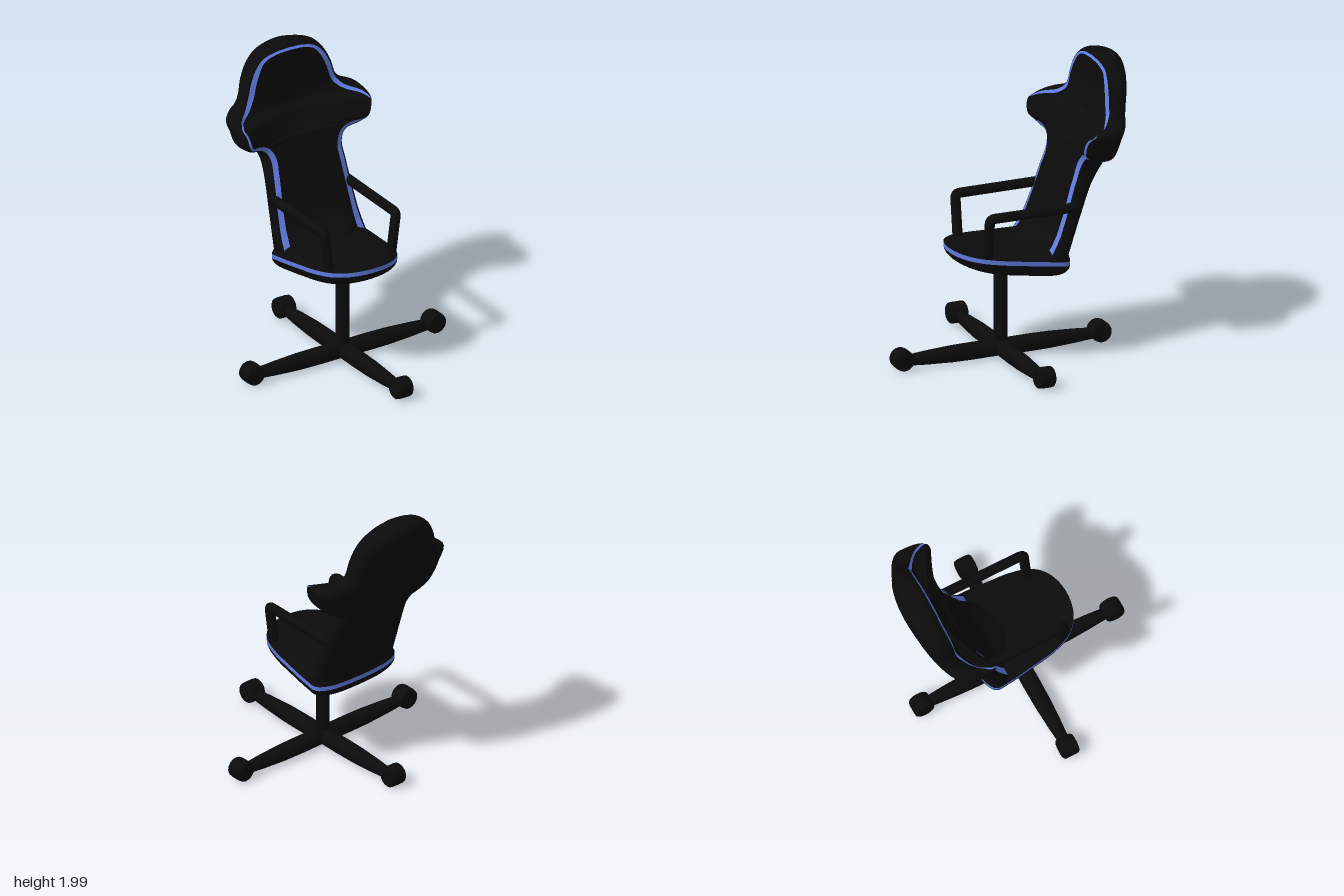
import * as THREE from 'three';
import { mergeVertices } from 'three/addons/utils/BufferGeometryUtils.js';

const black = new THREE.MeshStandardMaterial({ color: 0x0b0b0b, side: THREE.DoubleSide });
const blue = new THREE.MeshStandardMaterial({ color: 0x607ce0, side: THREE.DoubleSide });
const V = (x, y, z) => new THREE.Vector3(x, y, z);
const mix = THREE.MathUtils.lerp;

// Smooth surface through rows of points: columns run rightward seen from outside, rows run upward
function surface(name, rows, material) {
  const n = rows[0].length, index = [];
  for (let i = 0; i < rows.length - 1; i++) {
    for (let j = 0; j < n - 1; j++) {
      const a = i * n + j, d = a + n;
      index.push(a, a + 1, d + 1, a, d + 1, d);
    }
  }
  let geo = new THREE.BufferGeometry().setFromPoints(rows.flat());
  geo.setIndex(index);
  geo = mergeVertices(geo, 1e-4);
  geo.computeVertexNormals();
  return part(name, geo, material);
}

function part(name, geo, material = black) {
  const mesh = new THREE.Mesh(geo, material);
  mesh.name = name;
  return mesh;
}

// Backrest stations: half width, height, edge z, centre front z, centre back z, trim width
const stations = [
  [.342, .70, -.13, .04, -.357, .05],
  [.330, .80, -.20, -.05, -.385, .045],
  [.322, .88, -.245, -.215, -.41, .04],
  [.312, 1.0, -.29, -.285, -.455, .036],
  [.297, 1.2, -.355, -.355, -.54, .036],
  [.295, 1.31, -.395, -.405, -.62, .036],
  [.328, 1.365, -.41, -.43, -.655, .032],
  [.42, 1.395, -.395, -.45, -.68, .022],
  [.475, 1.45, -.355, -.48, -.70, .014],
  [.50, 1.53, -.355, -.52, -.725, .010],
  [.512, 1.585, -.39, -.55, -.735, .010],
  [.48, 1.625, -.44, -.56, -.742, .016],
  [.40, 1.655, -.53, -.575, -.75, .024],
  [.36, 1.70, -.57, -.585, -.76, .034],
  [.33, 1.80, -.58, -.60, -.78, .036],
  [.285, 1.89, -.59, -.60, -.79, .032],
  [.22, 1.955, -.60, -.60, -.785, .020],
  [.12, 1.99, -.60, -.60, -.755, .014],
  [0, 2.0, -.60, -.60, -.69, .014],
];

function backrest() {
  const group = new THREE.Group();
  group.name = 'backrest';
  const outline = new THREE.CatmullRomCurve3(stations.map(s => V(s[0], s[1], s[5])));
  const depth = new THREE.CatmullRomCurve3(stations.map(s => V(s[2], s[3], s[4])));
  const shell = [], panel = [], trimLeft = [], trimRight = [];
  const flip = p => V(-p.x, p.y, p.z);
  const N = 108, rim = 0.026;
  for (let i = 0; i <= N; i++) {
    const t = i / N, o = outline.getPoint(t), d = depth.getPoint(t);
    const tan = outline.getPoint(Math.min(1, t + .004)).sub(outline.getPoint(Math.max(0, t - .004)));
    const len = Math.hypot(tan.x, tan.y);
    // Point moved inward from the outline, in the front plane
    const inset = (k, z) => V(
      i === N ? 0 : Math.max(0, o.x - k * tan.y / len),
      o.y + k * Math.min(0, tan.x / len) + k * Math.max(0, tan.x / len), z);
    const sideZ = mix(d.x, d.z, .45);
    const edge = inset(rim, d.x - .012), inner = inset(rim + o.z, d.x);
    const half = [];
    for (let k = 0; k <= 6; k++) {
      const b = (1 - k / 6) * Math.PI / 2;
      half.push(inset(rim * (1 - Math.cos(b)), mix(sideZ, edge.z, Math.sin(b))));
    }
    for (let k = 1; k <= 12; k++) {
      const a = (1 - k / 12) * Math.PI / 2;
      half.push(V(o.x * Math.sin(a), o.y, mix(sideZ, d.z, Math.cos(a))));
    }
    shell.push([...half, ...half.slice(0, -1).reverse().map(flip)]);
    trimLeft.push([inner, edge]);
    trimRight.push([flip(edge), flip(inner)]);
    const row = [];
    for (let k = -10; k <= 10; k++) {
      const u = k / 10;
      row.push(V(inner.x * u, inner.y, mix(d.y, inner.z, Math.abs(u) ** 1.7)));
    }
    panel.push(row);
  }
  group.add(surface('backShell', shell, black), surface('backPanel', panel, black),
    surface('backTrimLeft', trimLeft, blue), surface('backTrimRight', trimRight, blue));
  return group;
}

function seat() {
  const group = new THREE.Group();
  group.name = 'seat';
  const side = [[.16, .37], [.255, .285], [.303, .15], [.323, 0], [.342, -.2], [.338, -.29], [.25, -.338]];
  const pts = [[0, .405], ...side, [0, -.358], ...side.map(([x, z]) => [-x, z]).reverse()];
  const loop = new THREE.CatmullRomCurve3(pts.map(([x, z]) => V(x, 0, z)), true).getPoints(96);
  const midZ = -.08;
  const trimY = z => .69 + (z + .36) * .128;
  // One ring of the plan, scaled by s about the middle of the seat
  const ring = (s, height) => loop.map(p => {
    const z = mix(midZ, p.z, s);
    return V(p.x * s, height(p.z, z), z);
  });
  const under = [], top = [];
  for (let k = 0; k <= 14; k++) {
    const a = k / 14 * Math.PI / 2, s = Math.sin(a);
    const dome = Math.sqrt(Math.max(0, 1 - s ** 2.5));
    under.push(ring(s, (pz, z) => trimY(z) - .015 - .125 * dome));
    top.unshift(ring(s, (pz, z) => mix(trimY(z) + .015, .803, dome)));
  }
  group.add(surface('seatUnderside', under, black), surface('seatCushion', top, black),
    surface('seatTrim', [ring(1, z => trimY(z) - .015), ring(1, z => trimY(z) + .015)], blue));
  return group;
}

function armrest(sign) {
  // Leaning post, tight bend, level arm running into the back
  const path = new THREE.CurvePath();
  const low = V(sign * .235, .75, .235), a = V(sign * .273, 1.03, .235), corner = V(sign * .278, 1.06, .235);
  const b = V(sign * .279, 1.06, .20), end = V(sign * .285, 1.06, -.37);
  path.add(new THREE.LineCurve3(low, a));
  path.add(new THREE.QuadraticBezierCurve3(a, corner, b));
  path.add(new THREE.LineCurve3(b, end));
  return part(sign > 0 ? 'armrestLeft' : 'armrestRight', new THREE.TubeGeometry(path, 80, .033, 16));
}

function base() {
  const group = new THREE.Group();
  group.name = 'base';
  group.position.set(-.005, 0, .035);
  const column = part('column', new THREE.CylinderGeometry(.045, .045, .56, 32));
  column.position.y = .34;
  const hub = part('hub', new THREE.SphereGeometry(.062, 24, 16));
  hub.position.y = .073;
  group.add(column, hub);
  const profile = [[.056, 0], [.058, .2], [.056, .35], [.047, .52], [.036, .66], [0, .67]]
    .map(p => new THREE.Vector2(...p));
  for (let i = 0; i < 4; i++) {
    const arm = new THREE.Group();
    arm.name = 'leg' + (i + 1);
    const leg = part('legBeam', new THREE.LatheGeometry(profile, 24));
    leg.rotation.x = Math.PI / 2;
    leg.position.y = .071;
    // Caster wheel turning across the leg, with softened rims
    const wheelProfile = [[0, -.058], [.058, -.058], [.067, -.05], [.07, -.03], [.07, .03], [.067, .05], [.058, .058], [0, .058]]
      .map(p => new THREE.Vector2(...p));
    const wheel = part('caster', new THREE.LatheGeometry(wheelProfile, 32));
    wheel.rotation.z = Math.PI / 2;
    wheel.position.set(0, .083, .697);
    arm.add(leg, wheel);
    arm.rotation.y = i * Math.PI / 2;
    group.add(arm);
  }
  return group;
}

export function createModel() {
  const chair = new THREE.Group();
  chair.name = 'swivelChair';
  chair.add(backrest(), seat(), armrest(1), armrest(-1), base());
  return chair;
}
